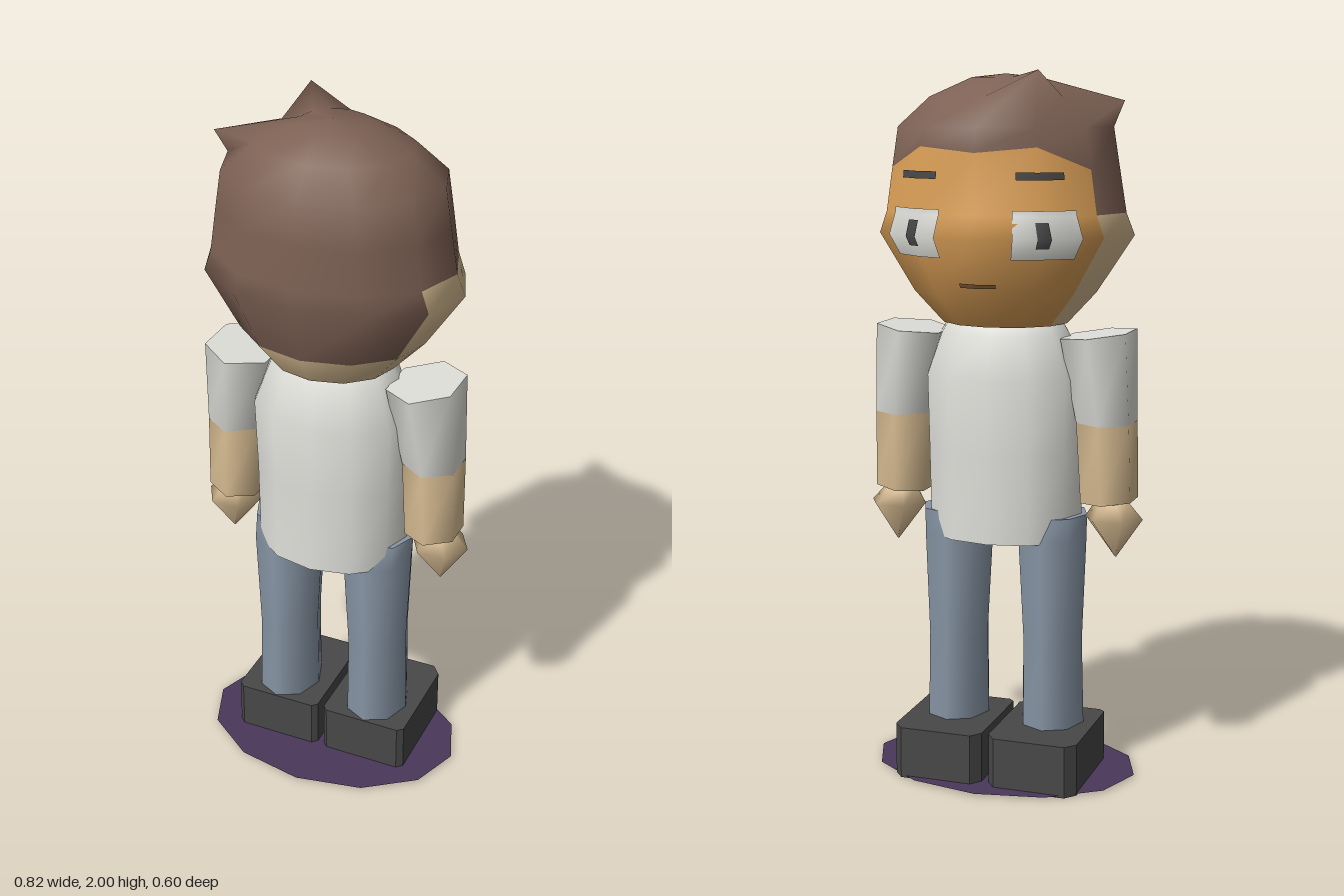
import * as THREE from 'three';

const mat = (name, color, side = THREE.FrontSide) => {
  const m = new THREE.MeshStandardMaterial({ color, side });
  m.name = name;
  return m;
};

// Elliptical ring of n points; tilt raises y along +x
function ring(n, [y, cx, cz, rx, rz, tilt = 0], phase = 0) {
  return Array.from({ length: n }, (_, j) => {
    const a = phase + (j / n) * Math.PI * 2;
    return new THREE.Vector3(cx + rx * Math.cos(a), y + tilt * Math.cos(a), cz + rz * Math.sin(a));
  });
}

// Skin a stack of rings (bottom to top); pick(i, j) chooses the material slot of each quad
function loft(rings, { top = true, bottom = true, pick = () => 0, slots = 1 } = {}) {
  const n = rings[0].length;
  const pos = [];
  const faces = Array.from({ length: slots }, () => []);
  rings.forEach(r => r.forEach(p => pos.push(p.x, p.y, p.z)));
  for (let i = 0; i < rings.length - 1; i++) {
    for (let j = 0; j < n; j++) {
      const a = i * n + j, b = i * n + (j + 1) % n;
      faces[pick(i, j)].push(a, a + n, b, b, a + n, b + n);
    }
  }
  const cap = (r, up) => {
    const base = pos.length / 3;
    const c = r.reduce((s, p) => s.add(p), new THREE.Vector3()).divideScalar(n);
    [c, ...r].forEach(p => pos.push(p.x, p.y, p.z));
    for (let j = 0; j < n; j++) {
      const p = base + 1 + j, q = base + 1 + (j + 1) % n;
      faces[0].push(base, up ? q : p, up ? p : q);
    }
  };
  if (bottom) cap(rings[0], false);
  if (top) cap(rings[rings.length - 1], true);
  const g = new THREE.BufferGeometry();
  g.setAttribute('position', new THREE.Float32BufferAttribute(pos, 3));
  g.setIndex(faces.flat());
  if (slots > 1) {
    let start = 0;
    faces.forEach((f, k) => { g.addGroup(start, f.length, k); start += f.length; });
  }
  g.computeVertexNormals();
  return g;
}

export function createModel() {
  const model = new THREE.Group();
  const skin = mat('skin', 0xdcc095), face = mat('face', 0xdca057), hair = mat('hair', 0x7d6154);
  const white = mat('white', 0xdfe0da, THREE.DoubleSide), jeans = mat('jeans', 0x8896a6);
  const dark = mat('charcoal', 0x484848, THREE.DoubleSide);
  const mouthMat = mat('mouth brown', 0x8b6239, THREE.DoubleSide);
  const purple = mat('base purple', 0x4a3759, THREE.DoubleSide);
  const add = (name, geo, material) => {
    const m = new THREE.Mesh(geo, material);
    m.name = name;
    model.add(m);
    return m;
  };

  // Flat base disc
  const disc = new THREE.CircleGeometry(1, 12).rotateX(-Math.PI / 2).scale(0.39, 1, 0.28);
  add('baseDisc', disc.translate(0, 0.006, 0.02), purple);

  // Shirt body
  const torso = [
    [0.7, 0, 0.02, 0.225, 0.17], [0.95, 0, 0.018, 0.23, 0.168], [1.16, 0, 0.02, 0.235, 0.175],
    [1.28, 0, 0.016, 0.19, 0.137], [1.31, 0, 0.016, 0.172, 0.12],
  ];
  add('shirt', loft(torso.map(s => ring(12, s))), white);

  // Limbs, mirrored
  for (const s of [1, -1]) {
    const side = s > 0 ? 'left' : 'right';

    const shoe = new THREE.Shape([
      [0.025, -0.135], [0.255, -0.135], [0.272, -0.12], [0.272, 0.165],
      [0.245, 0.197], [0.035, 0.197], [0.01, 0.165], [0.01, -0.12],
    ].map(([x, y]) => new THREE.Vector2(s * x, y)));
    const shoeGeo = new THREE.ExtrudeGeometry(shoe, { depth: 0.15, bevelEnabled: false });
    add(side + 'Shoe', shoeGeo.rotateX(-Math.PI / 2), dark);

    const leg = [
      [0.12, 0.145, 0.02, 0.093, 0.112], [0.4, 0.143, 0.018, 0.088, 0.11],
      [0.7, 0.14, 0.018, 0.102, 0.124], [0.77, 0.14, 0.012, 0.105, 0.11],
    ];
    add(side + 'Leg', loft(leg.map(([y, x, ...r]) => ring(8, [y, s * x, ...r]))), jeans);

    const hex = ([y, x, z, rx, rz, t = 0]) => ring(6, [y, s * x, z, rx, rz, s * t], Math.PI / 6);
    const cuff = [1.04, 0.3, 0.013, 0.087, 0.098];
    add(side + 'Sleeve', loft([cuff, [1.285, 0.273, 0.018, 0.107, 0.13, 0.012]].map(hex)), white);
    add(side + 'Forearm', loft([[0.815, 0.308, 0.017, 0.083, 0.088, 0.006], cuff].map(hex)), skin);

    const hand = [
      [0.655, 0.33, 0.01, 0.002, 0.002], [0.768, 0.325, 0.008, 0.083, 0.083],
      [0.815, 0.318, 0.01, 0.047, 0.055],
    ];
    add(side + 'Hand', loft(hand.map(([y, x, ...r]) => ring(6, [y, s * x, ...r]))), skin);
  }

  // Head: twelve columns, the face pointing to -z at column 9
  const head = [
    [1.31, 0, 0.02, 0.18, 0.16], [1.4, 0, 0.017, 0.265, 0.223], [1.56, 0, 0.015, 0.372, 0.265],
    [1.62, 0, 0.015, 0.348, 0.264], [1.74, 0, 0.015, 0.328, 0.26], [1.85, 0, 0.015, 0.31, 0.25],
    [1.93, 0, 0.02, 0.22, 0.18], [1.982, 0, 0.022, 0.095, 0.1], [1.992, 0, 0.022, 0.001, 0.001],
  ].map(s => ring(12, s));
  head[2][9].z = -0.297;                       // nose ridge
  head[4][8].y = head[4][10].y = 1.8;          // hairline
  head[4][9].y = 1.785;
  head[6][6].set(-0.33, 1.92, 0.05);           // side tuft
  head[6][8].set(-0.16, 2.0, -0.19);           // front tuft
  const pick = (i, j) => {
    if (j >= 7 && j < 11) return i < 4 ? 1 : 2;
    if (j >= 1 && j < 5) return i < 1 ? 0 : 2;
    return i < 3 ? 0 : 2;
  };
  add('head', loft(head, { top: false, pick, slots: 3 }), [skin, face, hair]);

  // Point on the head at fractional column c and height y, lifted slightly off it
  const onHead = (c, y) => {
    const j = Math.floor(c) % 12;
    const col = head.map(r => r[j].clone().lerp(r[(j + 1) % 12], c - Math.floor(c)));
    let i = 0;
    while (i < col.length - 2 && col[i + 1].y < y) i++;
    const p = col[i].clone().lerp(col[i + 1], (y - col[i].y) / (col[i + 1].y - col[i].y));
    return new THREE.Vector3(p.x * 1.025, p.y, 0.015 + (p.z - 0.015) * 1.03);
  };
  // Thin painted patch that follows the head
  const patch = (name, c0, c1, y0, y1, material, lift = 1) => {
    const cuts = (a, b, stops) => [a, ...stops.filter(v => v > a && v < b), b];
    const cs = cuts(c0, c1, [7.5, 8, 8.5, 9, 9.5, 10, 10.5]);
    const ys = cuts(y0, y1, [1.56, 1.62]);
    const pos = [], idx = [];
    ys.forEach(y => cs.forEach(c => {
      const p = onHead(c, y);
      pos.push(p.x * lift, p.y, p.z * lift);
    }));
    for (let i = 0; i < ys.length - 1; i++) {
      for (let j = 0; j < cs.length - 1; j++) {
        const a = i * cs.length + j, b = a + cs.length;
        idx.push(a, b, a + 1, a + 1, b, b + 1);
      }
    }
    const g = new THREE.BufferGeometry();
    g.setAttribute('position', new THREE.Float32BufferAttribute(pos, 3));
    g.setIndex(idx);
    g.computeVertexNormals();
    add(name, g, material);
  };
  for (const s of [1, -1]) {
    const side = s > 0 ? 'left' : 'right';
    const at = (a, b) => (s > 0 ? [9 + a, 9 + b] : [9 - b, 9 - a]);
    patch(side + 'Eye', ...at(0.58, 1.62), 1.505, 1.635, white);
    patch(side + 'Pupil', ...at(0.9, 1.1), 1.535, 1.605, dark, 1.012);
    patch(side + 'Brow', ...at(0.65, 1.45), 1.715, 1.735, dark);
  }
  patch('mouth', 8.65, 9.35, 1.425, 1.437, mouthMat);

  return model;
}
